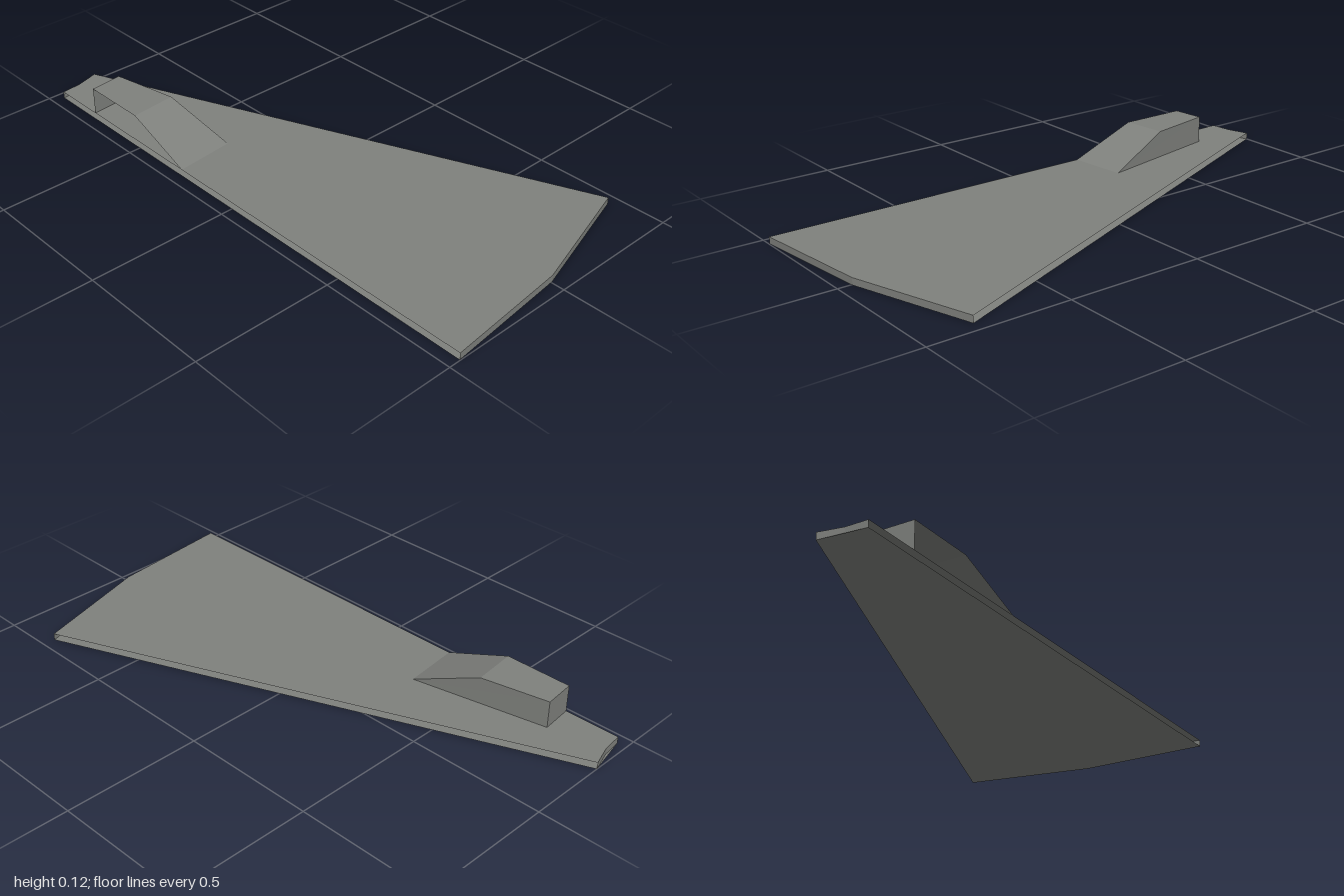
import * as THREE from 'three';

// Flat-shaded surface from polygons whose corners run counter-clockwise seen from outside
function polygons(name, faces, material) {
  const pos = [];
  for (const f of faces) {
    for (let i = 1; i < f.length - 1; i++) pos.push(...f[0], ...f[i], ...f[i + 1]);
  }
  const geo = new THREE.BufferGeometry();
  geo.setAttribute('position', new THREE.Float32BufferAttribute(pos, 3));
  geo.computeVertexNormals();
  const mesh = new THREE.Mesh(geo, material);
  mesh.name = name;
  return mesh;
}

export function createModel() {
  const grey = new THREE.MeshStandardMaterial({ color: 0x7f817d, side: THREE.DoubleSide });
  grey.name = 'stone grey';

  const group = new THREE.Group();
  group.name = 'floorSector';
  const H = 0.025, TOP = 0.125;
  const at = (y) => ([x, z]) => [x, y, z];

  // Outer and inner arcs of the sector, as [x, z]
  const outer = [[-0.457, 0.998], [0.004, 0.951], [0.455, 0.815]];
  const inner = [[-0.298, -1], [-0.38, -0.975], [-0.457, -0.967]];
  const outline = [...outer, ...inner];

  // Slab: top, underside and the two arc edges; both radial sides are open
  const wall = (a, b) => [at(0)(a), at(0)(b), at(H)(b), at(H)(a)];
  group.add(polygons('slabTop', [outline.map(at(H))], grey));
  group.add(polygons('slabUnderside', [[...outline].reverse().map(at(0))], grey));
  for (const [name, arc] of [['outerEdge', outer], ['innerEdge', inner]]) {
    group.add(polygons(name, [wall(arc[0], arc[1]), wall(arc[1], arc[2])], grey));
  }

  // Ramp block: open on the straight side, vertical on the slanted side
  const fl = [-0.457, H, -0.262], fr = [-0.24, H, -0.284];
  const ml = [-0.457, TOP, -0.513], mr = [-0.288, TOP, -0.53];
  const bl = [-0.457, TOP, -0.763], br = [-0.337, TOP, -0.775];
  const down = ([x, , z]) => [x, H, z];
  group.add(polygons('rampSlope', [[fl, fr, mr, ml]], grey));
  group.add(polygons('rampPlatform', [[ml, mr, br, bl]], grey));
  group.add(polygons('rampSide', [[fr, down(br), br, mr]], grey));
  group.add(polygons('rampBack', [[down(br), down(bl), bl, br]], grey));

  return group;
}
